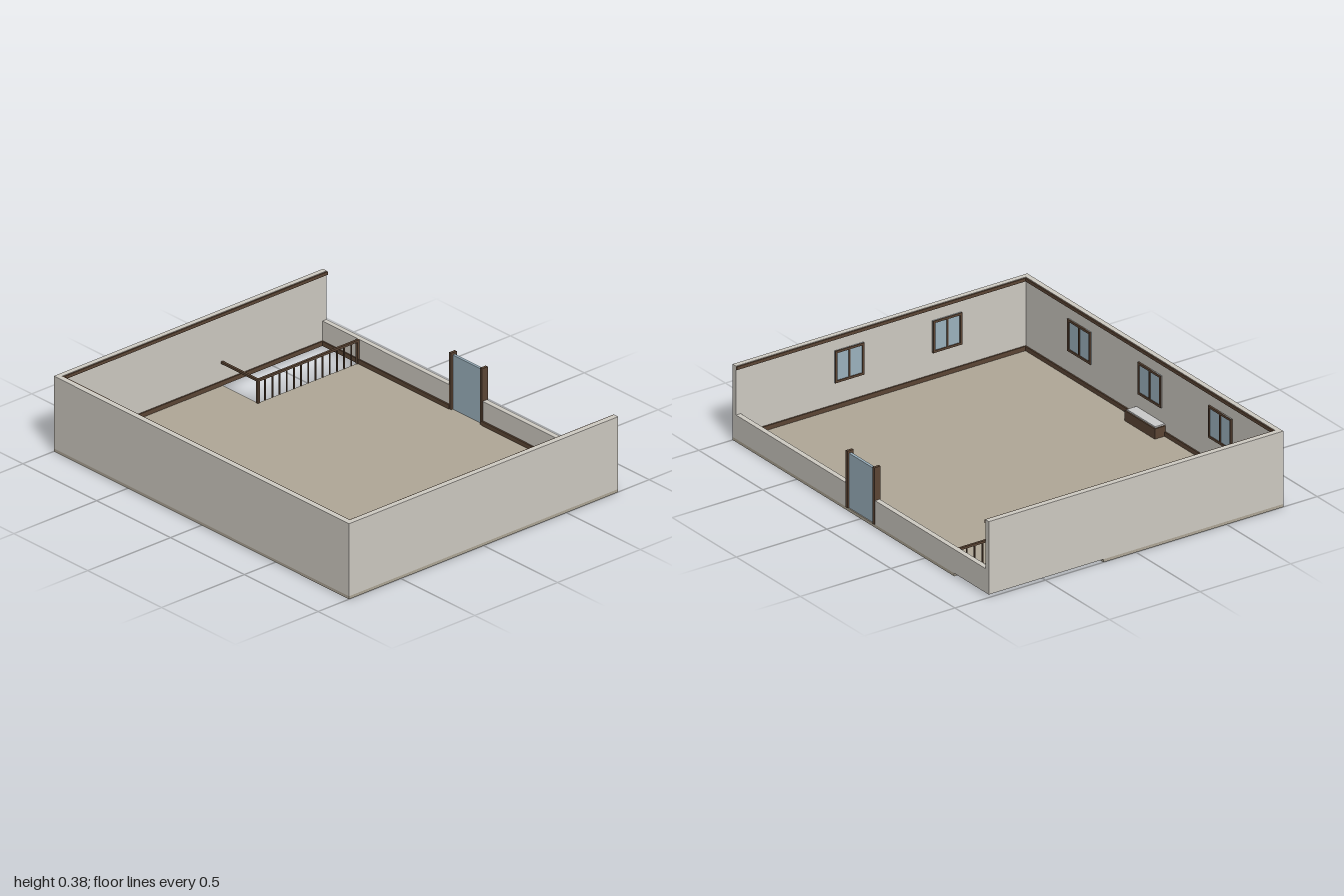
import * as THREE from 'three';

const mat = (color) => new THREE.MeshStandardMaterial({ color });

export function createModel() {
  const model = new THREE.Group();
  model.name = 'room';
  const wallMat = mat(0xcfcbc3), floorMat = mat(0xb0a898), trimMat = mat(0x5c4635);
  const glassMat = mat(0x9db3c0), stoneMat = mat(0xcccccc);

  // Box given by its lower and upper limits on each axis
  function box(name, material, [x0, x1], [y0, y1], [z0, z1], parent = model) {
    const mesh = new THREE.Mesh(new THREE.BoxGeometry(x1 - x0, y1 - y0, z1 - z0), material);
    mesh.position.set((x0 + x1) / 2, (y0 + y1) / 2, (z0 + z1) / 2);
    mesh.name = name;
    parent.add(mesh);
    return mesh;
  }
  function group(name) {
    const g = new THREE.Group();
    g.name = name;
    model.add(g);
    return g;
  }

  const W = 1, D = 0.813, T = 0.026;           // half width, half depth, wall thickness
  const F = 0.015, H = 0.38, L = 0.135;        // floor level, wall top, low wall top
  const ix = W - T, iz = D - T;                // inner wall faces
  const holeX = -0.73, holeZ = -0.18;          // corner of the stair opening

  // Floor in two slabs, leaving the stair opening free
  box('floorFront', floorMat, [-W, W], [0, F], [holeZ, D]);
  box('floorBack', floorMat, [holeX, W], [0, F], [-D, holeZ]);

  // Walls: three high, and a low one at the back with a doorway
  box('frontWall', wallMat, [-W, W], [F, H], [iz, D]);
  for (const s of [-1, 1]) {
    const xs = s > 0 ? [ix, W] : [-W, -ix];
    const inner = s > 0 ? [ix - 0.007, ix] : [-ix, -ix + 0.007];
    box('sideWall', wallMat, xs, [F, H], [-D, iz]);
    box('sideBaseboard', trimMat, inner, [F, F + 0.022], [-iz, iz]);
    box('sideCrownTrim', trimMat, inner, [H - 0.018, H - 0.002], [-D, iz]);
    box('lowBackWall', wallMat, s > 0 ? [0.11, ix] : [-ix, -0.11], [F, L], [-D, -iz]);
    box('backBaseboard', trimMat, s > 0 ? [0.11, ix] : [-ix, -0.11], [F, F + 0.022], [-iz, -iz + 0.007]);
  }
  box('frontBaseboard', trimMat, [-ix, ix], [F, F + 0.022], [iz - 0.007, iz]);
  box('frontCrownTrim', trimMat, [-ix, ix], [H - 0.018, H - 0.002], [iz - 0.007, iz]);

  // Glass door between two posts
  const door = group('door');
  box('doorPanel', glassMat, [-0.1, 0.1], [F, 0.288], [-0.808, -0.794], door);
  for (const s of [-1, 1])
    box('doorPost', trimMat, [s * 0.105 - 0.007, s * 0.105 + 0.007], [F, 0.3], [-0.817, -0.783], door);

  // Two-pane window facing local -z, hung on an inner wall face
  function addWindow(x, z, angle, w) {
    const g = group('window');
    const h = 0.16, b = 0.011;
    box('pane', glassMat, [-w / 2, w / 2], [-h / 2, h / 2], [-0.004, 0], g);
    for (const s of [-1, 1]) {
      const u = s * (w - b) / 2, v = s * (h - b) / 2;
      box('frameSide', trimMat, [u - b / 2, u + b / 2], [-h / 2, h / 2], [-0.009, 0], g);
      box('frameRail', trimMat, [-w / 2, w / 2], [v - b / 2, v + b / 2], [-0.009, 0], g);
    }
    box('mullion', trimMat, [-0.004, 0.004], [-h / 2, h / 2], [-0.008, 0], g);
    g.position.set(x, 0.225, z);
    g.rotation.y = angle;
  }
  for (const x of [-0.55, 0, 0.55]) addWindow(x, iz, 0, 0.18);
  for (const z of [-0.19, 0.35]) addWindow(ix, z, Math.PI / 2, 0.16);

  // Low bench against the front wall
  const bench = group('bench');
  box('benchBody', trimMat, [-0.118, 0.118], [F, 0.066], [0.727, iz], bench);
  box('benchTop', stoneMat, [-0.111, 0.111], [0.066, 0.073], [0.734, iz], bench);

  // Railing around the stair opening
  const railing = group('railing');
  const top = F + 0.12, r = 0.006;
  box('sideRail', trimMat, [holeX - r, holeX + r], [top - 0.011, top], [-iz, holeZ + r], railing);
  box('endRail', trimMat, [-ix, holeX - r], [top - 0.011, top], [holeZ - r, holeZ + r], railing);
  for (const z of [holeZ, -iz + r])
    box('railPost', trimMat, [holeX - r, holeX + r], [F, top], [z - r, z + r], railing);
  const count = 14;
  for (let i = 1; i < count; i++) {
    const z = holeZ + (-iz - holeZ) * i / count;
    box('baluster', trimMat, [holeX - 0.003, holeX + 0.003], [F, top - 0.01], [z - 0.003, z + 0.003], railing);
  }
  return model;
}
